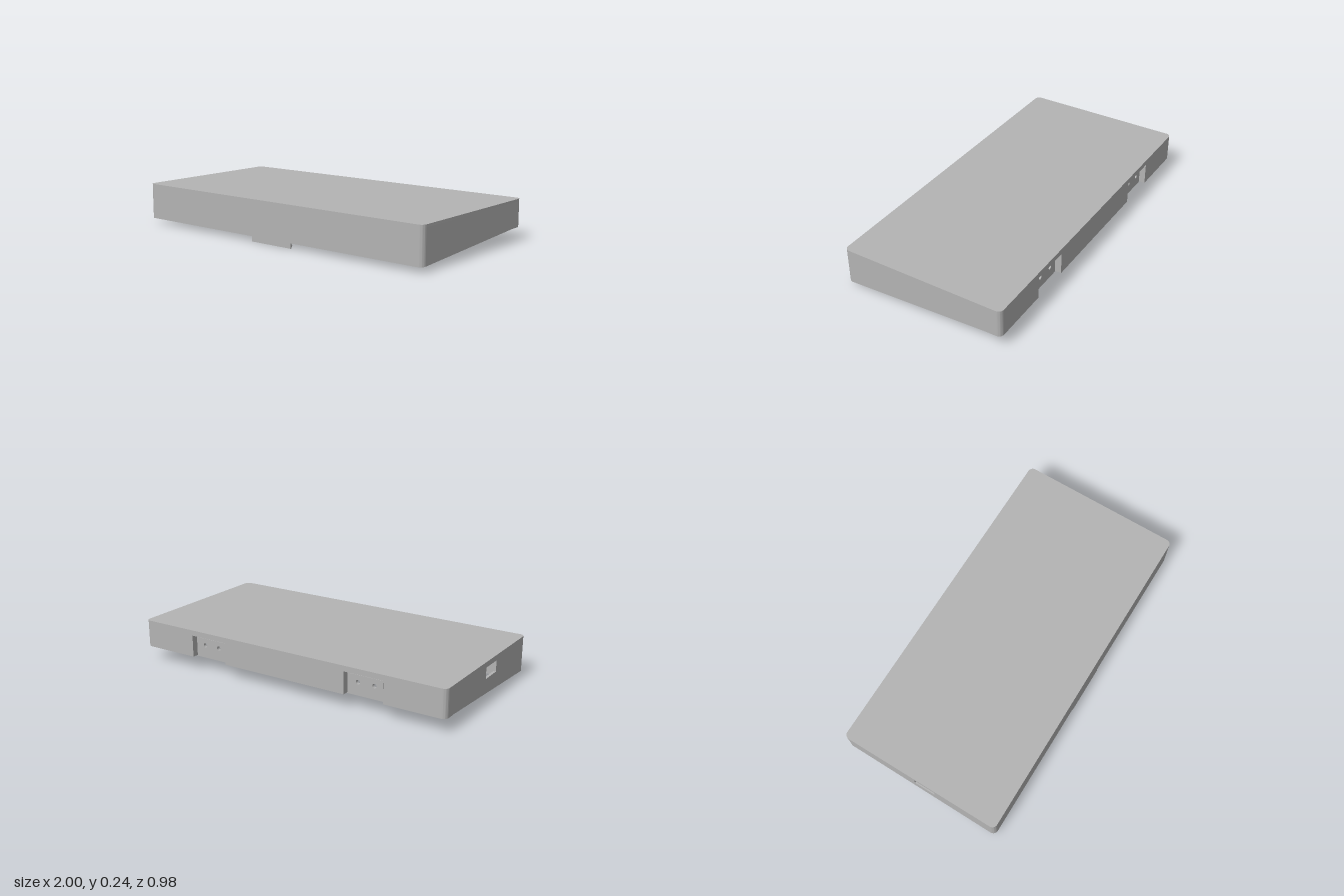
import * as THREE from 'three';
import { toCreasedNormals } from 'three/addons/utils/BufferGeometryUtils.js';

const W = 1, D = 0.49, TOP = 0.242, T = 0.015, R = 0.03, CEIL = TOP - T;

// Height of the sloping lower rim at depth z
const rimY = z => (z < -0.4 ? 0.08 : 0.03 + ((D - z) / (D + 0.4)) * 0.05);

const poly = pts => new THREE.Shape(pts.map(p => new THREE.Vector2(p[0], p[1])));
const rectPath = (x0, y0, x1, y1) => poly([[x0, y0], [x1, y0], [x1, y1], [x0, y1]]);

function circleHole(x, y, r) {
  const p = new THREE.Path();
  p.absarc(x, y, r, 0, Math.PI * 2, true);
  return p;
}

const extrude = (shape, depth) =>
  new THREE.ExtrudeGeometry(shape, { depth, bevelEnabled: false, curveSegments: 8 });

// Profile drawn in (-z, y), extruded from x0 towards +x
const alongX = (shape, x0, len) => extrude(shape, len).rotateY(Math.PI / 2).translate(x0, 0, 0);

// Plan drawn in (x, -z), extruded upwards from y0
const alongY = (shape, y0, len) => extrude(shape, len).rotateX(-Math.PI / 2).translate(0, y0, 0);

export function createModel() {
  const model = new THREE.Group();
  model.name = 'enclosureCover';
  const grey = new THREE.MeshStandardMaterial({ color: 0xb4b4b4 });
  grey.name = 'plasticGrey';

  const add = (name, geo, parent = model) => {
    const mesh = new THREE.Mesh(geo, grey);
    mesh.name = name;
    parent.add(mesh);
    return mesh;
  };
  const box = (name, x0, x1, y0, y1, z0, z1, parent) =>
    add(name, new THREE.BoxGeometry(x1 - x0, y1 - y0, z1 - z0)
      .translate((x0 + x1) / 2, (y0 + y1) / 2, (z0 + z1) / 2), parent);

  // Top panel with rounded corners
  const plan = new THREE.Shape();
  plan.absarc(W - R, D - R, R, 0, Math.PI / 2);
  plan.absarc(-W + R, D - R, R, Math.PI / 2, Math.PI);
  plan.absarc(-W + R, -D + R, R, Math.PI, Math.PI * 1.5);
  plan.absarc(W - R, -D + R, R, Math.PI * 1.5, Math.PI * 2);
  plan.closePath();
  add('topPanel', toCreasedNormals(alongY(plan, CEIL, T), 0.6));

  // Rounded corner posts of the wall, cut to the sloping rim
  for (let i = 0; i < 4; i++) {
    const a = (i * Math.PI) / 2;
    const cx = (i === 0 || i === 3 ? 1 : -1) * (W - R);
    const cy = (i < 2 ? 1 : -1) * (D - R);
    const s = new THREE.Shape();
    s.absarc(cx, cy, R, a, a + Math.PI / 2, false);
    s.absarc(cx, cy, R - T, a + Math.PI / 2, a, true);
    const g = alongY(s, 0, CEIL);
    const p = g.attributes.position;
    for (let k = 0; k < p.count; k++) if (p.getY(k) < 0.01) p.setY(k, rimY(p.getZ(k)));
    add('wallCorner', toCreasedNormals(g, 0.6));
  }

  // Front wall
  box('frontWall', -W + R, W - R, 0.03, CEIL, D - T, D);

  // Side walls, the right one with a connector opening
  for (const side of [1, -1]) {
    const e = D - R;
    const s = poly([[-e, rimY(e)], [0.4, 0.08], [e, 0.08], [e, CEIL], [-e, CEIL]]);
    if (side < 0) s.holes.push(rectPath(-0.1, 0.145, 0.03, 0.21));
    add(side > 0 ? 'leftWall' : 'rightWall', alongX(s, side > 0 ? W - T : -W, T));
  }

  // Back wall with two notches open at the rim
  const n0 = 0.4, n1 = 0.64, nTop = 0.21, e = W - R;
  const back = poly([
    [-e, 0.08], [-n1, 0.08], [-n1, nTop], [-n0, nTop], [-n0, 0.08],
    [n0, 0.08], [n0, nTop], [n1, nTop], [n1, 0.08], [e, 0.08], [e, CEIL], [-e, CEIL],
  ]);
  add('backWall', extrude(back, T).translate(0, 0, -D));

  // Recessed mounting pockets behind the notches
  for (const side of [1, -1]) {
    const g = new THREE.Group();
    g.name = 'mountingPocket';
    g.position.x = side * 0.52;
    model.add(g);
    const plate = (name, w, y0, y1, z, d) => {
      const s = rectPath(-w, y0, w, y1);
      for (const h of [-0.05, 0.05]) s.holes.push(circleHole(h, 0.155, 0.013));
      add(name, extrude(s, d).translate(0, 0, z), g);
    };
    plate('pocketPlate', 0.13, 0.075, 0.22, -0.452, 0.012);
    plate('raisedPad', 0.102, 0.09, 0.195, -0.46, 0.009);
    for (const x of [-0.125, 0.125]) {
      box('pocketSide', x - 0.005, x + 0.005, 0.08, 0.22, -D + T, -0.445, g);
    }
    box('pocketTop', -0.13, 0.13, 0.21, 0.22, -D + T, -0.445, g);
  }

  // Front latch: backing plate, hanging tab and snap ridge
  box('latchBacking', -0.2, 0.2, 0.035, 0.126, 0.463, D - T);
  box('latchTab', -0.145, 0.145, 0, 0.1, 0.482, D);
  add('latchRidge', alongX(poly([[-0.484, 0.002], [-0.475, 0.015], [-0.484, 0.03]]), -0.145, 0.29));
  for (const x of [0.28, -0.58]) box('wallRib', x - 0.05, x + 0.05, 0.07, 0.076, 0.468, D - T);

  // Hollow posts hanging from the ceiling
  const post = (name, x, z, r, y0) => {
    const s = new THREE.Shape();
    s.absarc(x, -z, r, 0, Math.PI * 2);
    s.holes.push(circleHole(x, -z, r * 0.5));
    add(name, toCreasedNormals(alongY(s, y0, CEIL - y0), 0.9));
  };
  post('screwPost', 0.77, -0.38, 0.03, 0.11);
  for (const [x, z] of [[0.82, 0.35], [-0.86, 0.35]]) {
    post('screwPost', x, z, 0.032, 0.05);
    for (const f of [-1, 1]) {
      box('postFin', x + f * 0.046 - 0.016, x + f * 0.046 + 0.016, 0.08, CEIL, z - 0.005, z + 0.005);
      box('postFin', x - 0.005, x + 0.005, 0.08, CEIL, z + f * 0.046 - 0.016, z + f * 0.046 + 0.016);
    }
  }
  for (const z of [-0.08, 0.17]) post('boardPost', -0.66, z, 0.042, 0.11);

  // Rails either side of the connector opening
  for (const z of [-0.04, 0.115]) box('boardRail', -W + T, -0.59, 0.12, CEIL, z - 0.006, z + 0.006);

  // Small rim pads in the corners
  for (const x of [-0.95, 0.95]) {
    for (const z of [-0.44, 0.44]) {
      const y = rimY(z) + 0.015;
      add('cornerPad', new THREE.CylinderGeometry(0.025, 0.025, 0.02, 16).translate(x, y + 0.01, z));
      box('cornerPadArm', Math.min(x, Math.sign(x) * 0.985), Math.max(x, Math.sign(x) * 0.985),
        y, y + 0.02, z - 0.012, z + 0.012);
    }
  }

  // Fine ribs across the ceiling
  for (const x of [0.11, -0.19, -0.4]) box('ceilingRib', x - 0.002, x + 0.002, CEIL - 0.004, CEIL, -0.1, 0.36);

  return model;
}
